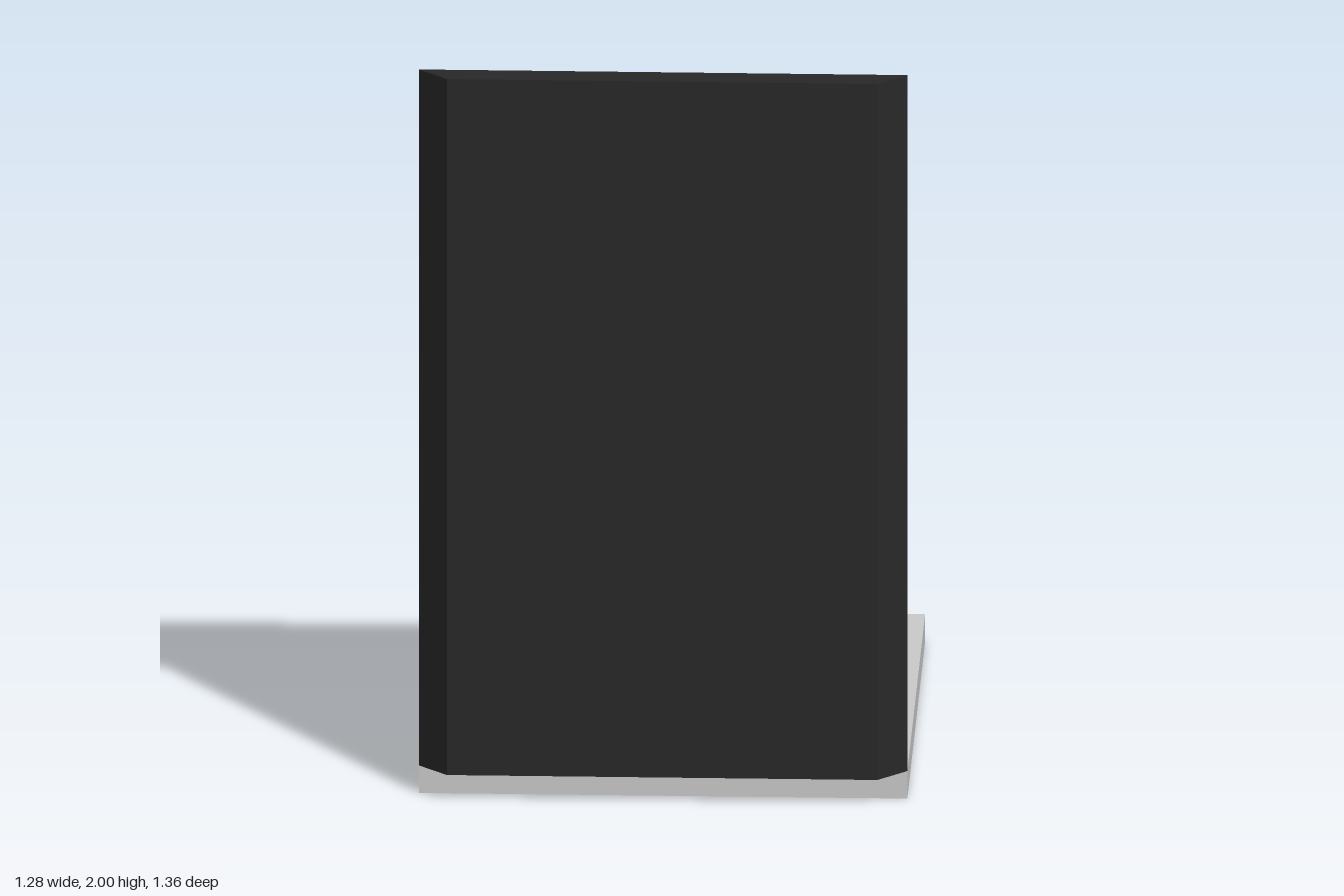
import * as THREE from 'three';

const HALF_WIDTH = 0.64;
const THICKNESS = 0.076;
const BACK = -0.68;
const JOINT = 0.604; // z where the base ends and the panel begins

export function createModel() {
  const model = new THREE.Group();
  model.name = 'panelOnBase';

  // Flat square base slab
  const depth = JOINT - BACK;
  const base = new THREE.Mesh(
    new THREE.BoxGeometry(HALF_WIDTH * 2, THICKNESS, depth),
    new THREE.MeshStandardMaterial({ color: 0xcccccc })
  );
  base.name = 'base';
  base.position.set(0, THICKNESS / 2, BACK + depth / 2);
  model.add(base);

  // Upright panel: trapezoid plan with mitred sides, narrower at the front
  const frontHalf = HALF_WIDTH - THICKNESS;
  const plan = new THREE.Shape([
    new THREE.Vector2(-HALF_WIDTH, 0),
    new THREE.Vector2(-frontHalf, -THICKNESS),
    new THREE.Vector2(frontHalf, -THICKNESS),
    new THREE.Vector2(HALF_WIDTH, 0),
  ]);
  const panelGeometry = new THREE.ExtrudeGeometry(plan, { depth: 2 - THICKNESS, bevelEnabled: false });
  panelGeometry.rotateX(-Math.PI / 2); // extrusion upward, plan -y toward the front
  const panel = new THREE.Mesh(panelGeometry, new THREE.MeshStandardMaterial({ color: 0x282828 }));
  panel.name = 'uprightPanel';
  panel.position.set(0, THICKNESS, JOINT);
  model.add(panel);

  return model;
}
